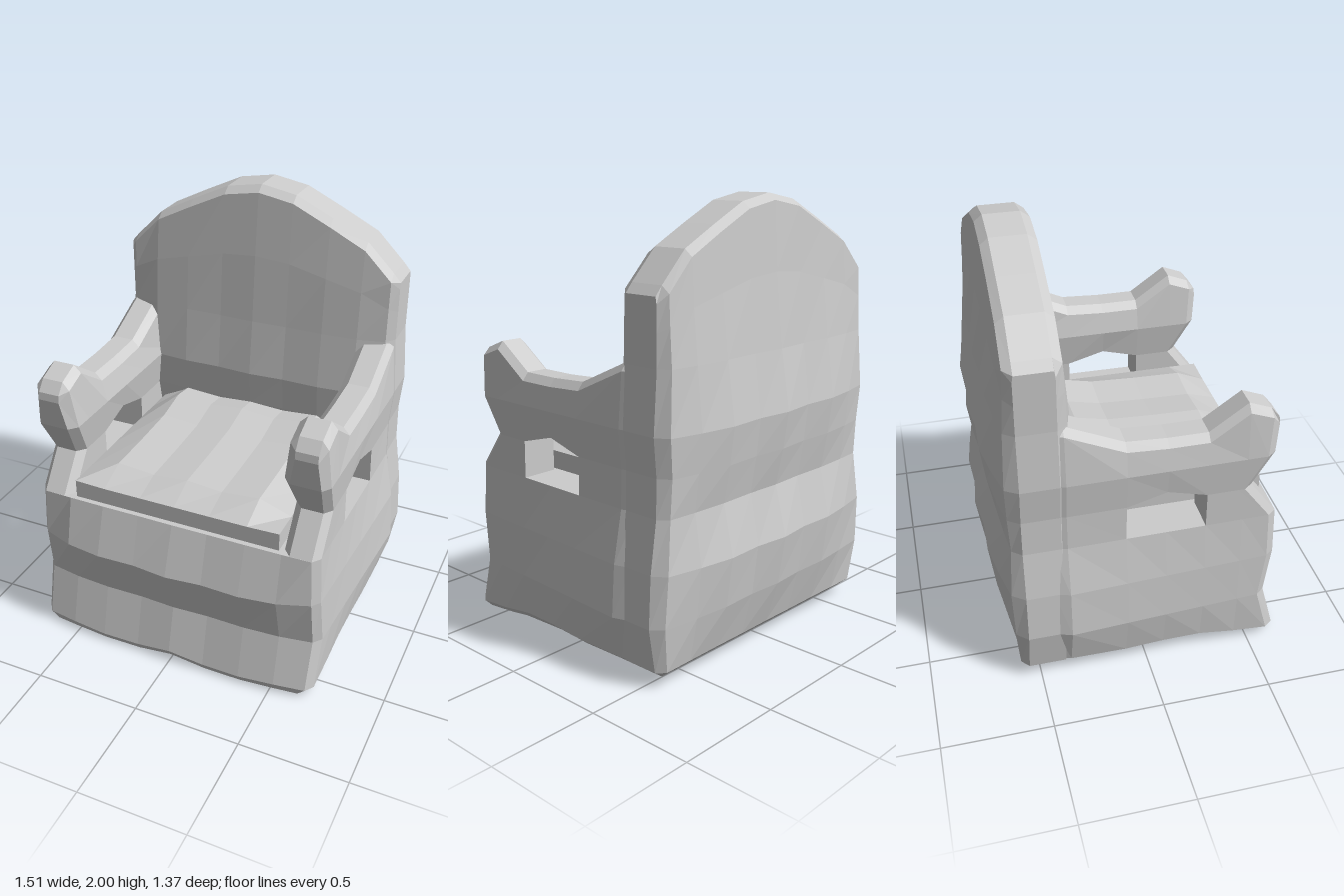
import * as THREE from 'three';

const upholstery = new THREE.MeshStandardMaterial({ color: 0xcccccc, flatShading: true });
upholstery.name = 'upholstery';

// Closed slab on a cell grid: point(i, j, s) gives the outer (s = 0) and inner (s = 1) skin.
// Cells listed by skip() are left open, and every open border is walled.
function slab(name, nu, nv, point, { flip = false, skip = () => false } = {}) {
  const pos = [];
  const tri = (a, b, c) => pos.push(...a, ...(flip ? c : b), ...(flip ? b : c));
  const quad = (a, b, c, d) => { tri(a, b, c); tri(a, c, d); };
  const solid = (i, j) => i >= 0 && j >= 0 && i < nu && j < nv && !skip(i, j);
  for (let i = 0; i < nu; i++) for (let j = 0; j < nv; j++) {
    if (!solid(i, j)) continue;
    const corners = [[i, j], [i + 1, j], [i + 1, j + 1], [i, j + 1]];
    const outer = corners.map(([a, b]) => point(a, b, 0));
    const inner = corners.map(([a, b]) => point(a, b, 1));
    quad(...outer);
    quad(...inner.slice().reverse());
    [[0, -1], [1, 0], [0, 1], [-1, 0]].forEach(([di, dj], k) => {
      if (solid(i + di, j + dj)) return;
      const n = (k + 1) % 4;
      quad(outer[n], outer[k], inner[k], inner[n]);
    });
  }
  const geo = new THREE.BufferGeometry();
  geo.setAttribute('position', new THREE.Float32BufferAttribute(pos, 3));
  geo.computeVertexNormals();
  const mesh = new THREE.Mesh(geo, upholstery);
  mesh.name = name;
  return mesh;
}

// Shared height rows: half width, sideways bulge and front edge depth
const ROWS = [0.03, 0.06, 0.28, 0.51, 0.74, 0.91, 1.08];
const WIDTH = [0.66, 0.695, 0.7, 0.695, 0.685, 0.685, 0.7, 0.685];
const SIDE_BULGE = [0, 0.01, 0.055, 0.045, 0.01, 0.005, 0.005, 0];
const FRONT = [0.63, 0.635, 0.57, 0.6, 0.595, 0.47, 0.56, 0.575, 0.57];

function sideX(row, z) {
  const r = Math.min(row, 7);
  const t = z > -0.36 ? Math.max(0, (0.58 - z) / 0.94) : 1 - (-0.36 - z) * 2.4;
  return WIDTH[r] + SIDE_BULGE[r] * t;
}

// Padding fullness across the width
function fullness(x) {
  const a = Math.abs(x);
  return a < 0.1 ? 1 : a < 0.2 ? 0.8 : a < 0.4 ? 0.87 : a < 0.55 ? 0.6 : 0;
}

// Arm panel with scrolled front, dipped top and a peaked opening
function arm(side) {
  const tops = [1.25, 1.3, 1.34, 1.22, 1.22, 1.23, 1.35, 1.36];
  const floor = [0.01, 0.01, 0.025, 0.05, 0.05, 0.04, 0.045, 0.045];
  const point = (i, j, s) => {
    const f = FRONT[j];
    const z = [f, f - 0.04, Math.min(0.43, f - 0.07), 0.26, 0.08, -0.1, -0.36, -0.43][i];
    let y = ROWS[j];
    if (j < 2) y = floor[i] + j * 0.035;
    if (j === 5 && i === 4) y = 0.96;
    if (j === 7) y = tops[i] - 0.035;
    if (j === 8) y = tops[i];
    const rim = i === 0 || j === 8;
    let x;
    if (s) x = (j === 6 ? 0.495 : 0.52) + (rim ? 0.035 : 0);
    else x = sideX(j, z) - (rim ? 0.03 : 0) - (i === 7 ? 0.015 : 0);
    return [side * x, y, z];
  };
  return slab(side > 0 ? 'leftArm' : 'rightArm', 7, 8, point, {
    flip: side < 0,
    skip: (i, j) => j === 4 && (i === 3 || i === 4),
  });
}

// Seat base with a padded front
function seatBase() {
  const xs = [-0.655, -0.52, -0.35, -0.17, 0, 0.17, 0.35, 0.52, 0.655];
  const bulge = [0.02, 0.035, 0.04, 0.085, 0.005];
  return slab('seatBase', 8, 4, (i, j, s) => {
    const edge = i === 0 || i === 8;
    const x = edge ? Math.sign(xs[i]) * (WIDTH[j] - 0.03) : xs[i];
    let y = ROWS[j];
    if (j < 2) y = (s ? 0.045 : i === 4 ? 0.025 : Math.abs(x) < 0.4 ? 0 : 0.01) + j * 0.035;
    return [x, y, s ? -0.42 : FRONT[j] + bulge[j] * fullness(x)];
  });
}

// Tall arched backrest, padded on both faces
function backrest() {
  const xs = [-0.69, -0.655, -0.52, -0.35, -0.17, 0, 0.17, 0.35, 0.52, 0.655, 0.69];
  const tops = [1.63, 1.67, 1.8, 1.885, 1.97, 2, 1.97, 1.885, 1.8, 1.67, 1.63];
  const front = [-0.36, -0.36, -0.36, -0.36, -0.33, -0.285, -0.265, -0.295, -0.32, -0.35, -0.39];
  const rear = [-0.55, -0.585, -0.65, -0.685, -0.625, -0.66, -0.685, -0.64, -0.605, -0.585, -0.55];
  return slab('backrest', 10, 10, (i, j, s) => {
    const edge = i === 0 || i === 10;
    const shoulder = i === 1 || i === 9;
    let y = j < 7 ? ROWS[j] : 1.35;
    if (j < 2) y = 0.045 + j * 0.03;
    if (j === 8) y = 1.35 + (tops[i] - 1.35) * 0.5;
    if (j === 9) y = tops[i] - 0.03;
    if (j === 10) y = tops[i];
    let x = xs[i];
    if (edge) x = Math.sign(x) * sideX(j, -0.5);
    if (shoulder) x = Math.sign(x) * (sideX(j, -0.57) - 0.035);
    const f = fullness(x);
    let z;
    if (j === 10) z = s ? -0.55 : -0.39;
    else if (edge) z = s ? -0.555 : -0.385;
    else if (s) z = j === 0 ? -0.555 : -0.59 + (rear[j] + 0.59) * (shoulder ? 0.25 : f);
    else z = -0.35 + (front[j] + 0.35) * (shoulder ? 0.2 : 0.4 + 0.6 * f);
    return [x, y, z];
  });
}

// Seat cushion with sloping borders and a gently raised crown
function cushion() {
  const xs = [-0.5, -0.35, -0.17, 0, 0.17, 0.35, 0.5];
  const zs = [0.575, 0.435, 0.2, -0.02, -0.18, -0.33];
  const crown = [0.82, 0.87, 0.875, 0.885, 0.92, 0.9];
  return slab('cushion', 6, 5, (i, j, s) => {
    const edge = i === 0 || i === 6;
    const wave = j === 0 ? 0 : i === 2 || i === 4 ? -0.008 : 0.008;
    return [xs[i], s ? 0.73 : edge ? 0.825 : crown[j] + wave, zs[j]];
  });
}

export function createModel() {
  const chair = new THREE.Group();
  chair.name = 'armchair';
  chair.add(seatBase(), backrest(), cushion(), arm(1), arm(-1));
  return chair;
}
